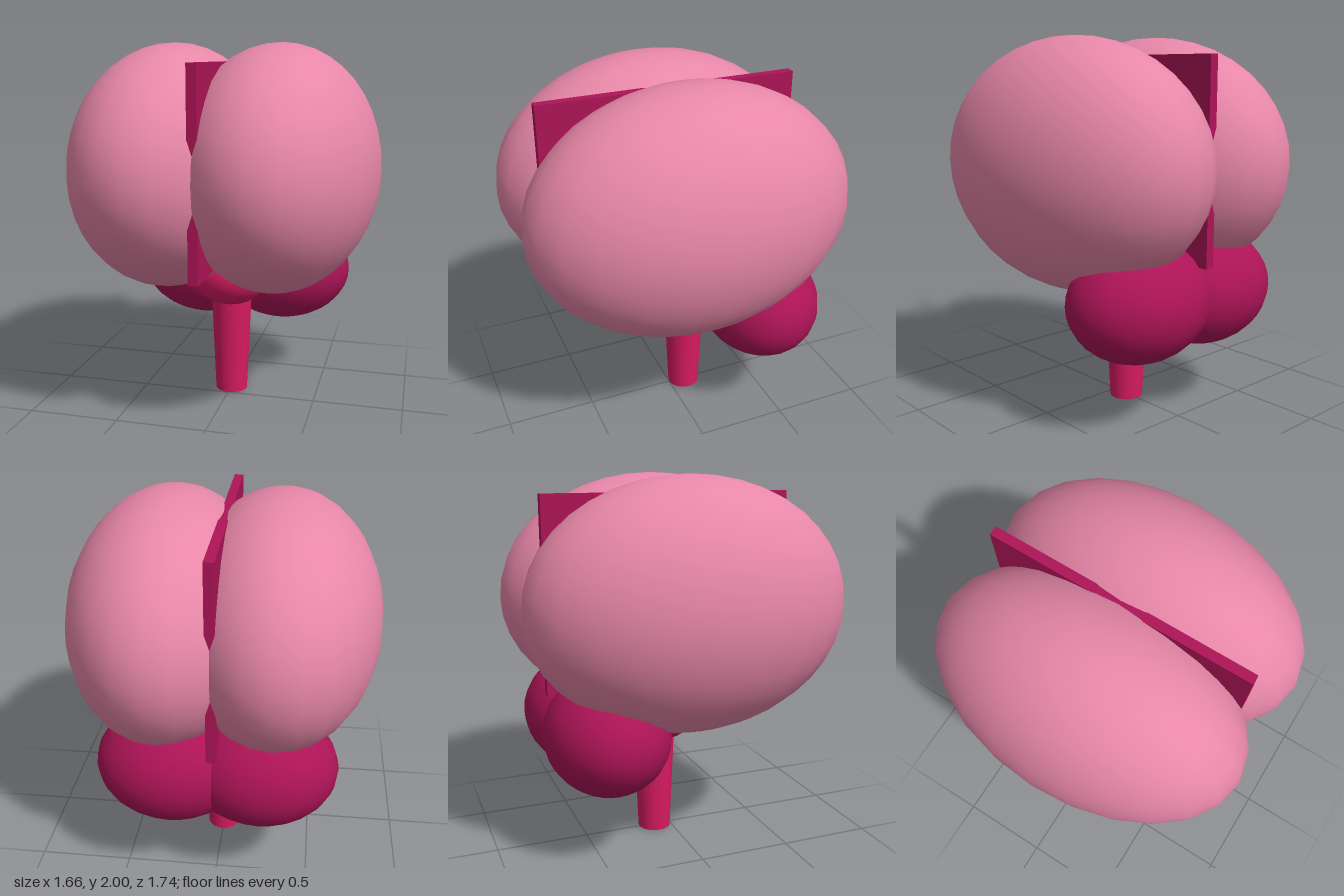
import * as THREE from 'three';

const material = (name, color) => {
  const m = new THREE.MeshStandardMaterial({ color });
  m.name = name;
  return m;
};

export function createModel() {
  const group = new THREE.Group();
  group.name = 'brain';
  const pink = material('pink', 0xf48fb1);
  const plum = material('plum', 0xad1457);
  const crimson = material('crimson', 0xd81b60);

  const add = (name, geometry, mat, x, y, z) => {
    const mesh = new THREE.Mesh(geometry, mat);
    mesh.name = name;
    mesh.position.set(x, y, z);
    group.add(mesh);
  };
  // Smooth ellipsoid with its poles on the y axis
  const ellipsoid = (rx, ry, rz, around, down) =>
    new THREE.SphereGeometry(1, around, down).scale(rx, ry, rz);

  // Paired lobes, overlapping at the midline
  for (const [side, s] of [['left', 1], ['right', -1]]) {
    add(side + 'Hemisphere', ellipsoid(0.54, 0.663, 0.87, 24, 20), pink, s * 0.292, 1.337, 0);
    add(side + 'Cerebellum', ellipsoid(0.405, 0.316, 0.33, 24, 18), plum, s * 0.235, 0.675, -0.44);
  }

  // Thin plate between the hemispheres
  add('midlinePlate', new THREE.BoxGeometry(0.05, 1.05, 1.4), plum, 0, 1.375, 0);

  // Brain stem with its bulge on top
  add('pons', ellipsoid(0.228, 0.18, 0.19, 24, 16), crimson, 0, 0.715, -0.045);
  add('brainStem', new THREE.CylinderGeometry(0.118, 0.091, 0.64, 24), crimson, 0, 0.32, -0.092);

  return group;
}
